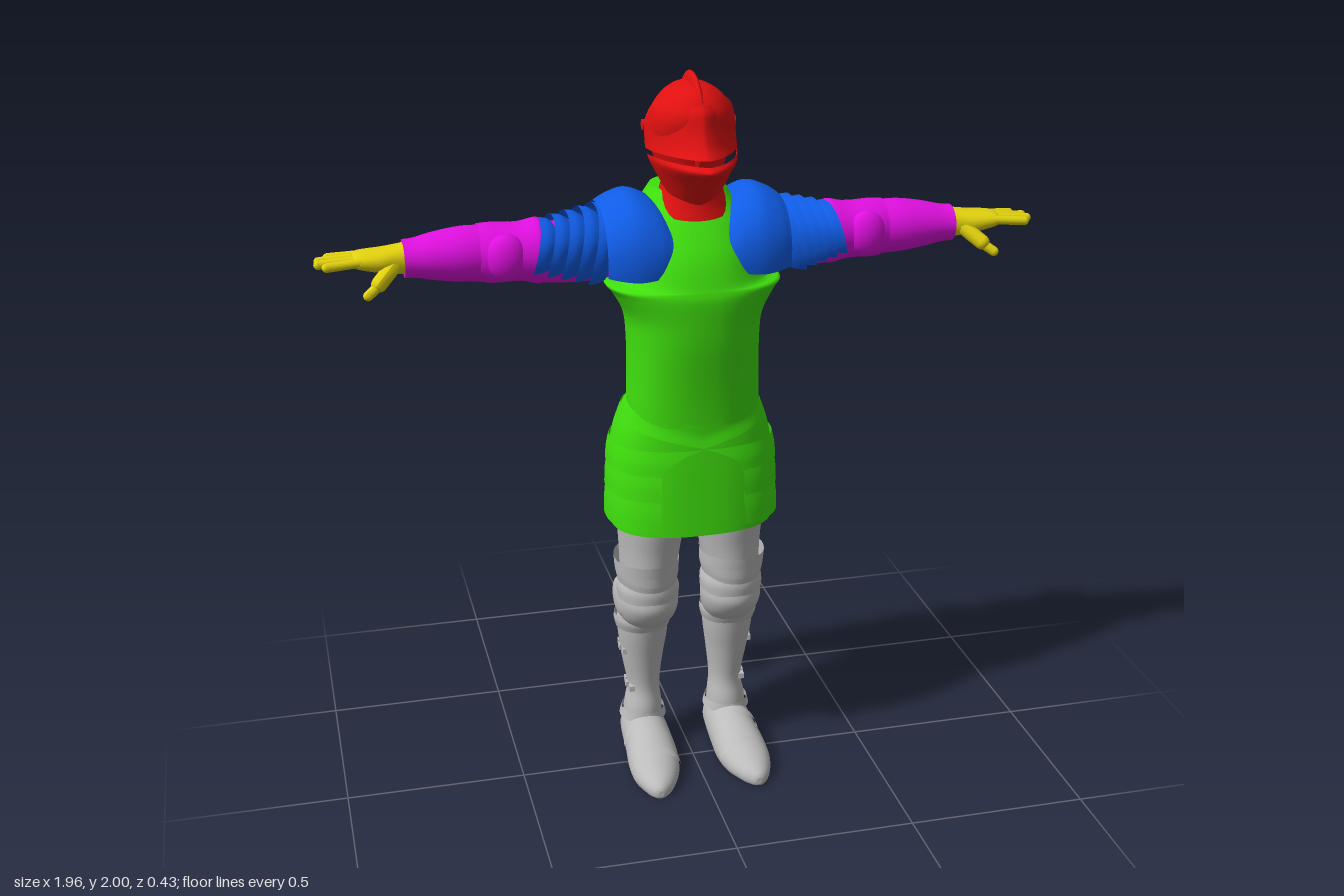
import * as THREE from 'three';

const paint = (name, color) => Object.assign(new THREE.MeshStandardMaterial({ color, side: THREE.DoubleSide }), { name });
const RAD = Math.PI / 180;

// Skin of superellipse rings [t, centreA, centreB, radiusA, radiusB].
// Axis y: A = x, B = z. Axis x: A = z, B = y. Axis z: A = y, B = x.
// arc(t) gives a start and end angle in degrees for open plates.
function loft(rings, { axis = 'y', n = 2, seg = 32, sub = 4, arc = null, cap = !arc, warp = null } = {}) {
  const curve = k => new THREE.CatmullRomCurve3(
    rings.map(r => k ? new THREE.Vector3(r[3], r[4], 0) : new THREE.Vector3(r[0], r[1], r[2])), false, 'catmullrom', 0.5);
  const centres = curve(0), radii = curve(1), rows = (rings.length - 1) * sub, cols = arc ? seg + 1 : seg;
  const pos = [], idx = [];
  const place = (t, a, b) => {
    const v = axis === 'y' ? new THREE.Vector3(a, t, b) : axis === 'x' ? new THREE.Vector3(t, b, a) : new THREE.Vector3(b, a, t);
    if (warp) warp(v);
    pos.push(v.x, v.y, v.z);
  };
  const power = v => Math.sign(v) * Math.abs(v) ** (2 / n);
  const addRow = i => {
    const c = centres.getPoint(i / rows), r = radii.getPoint(i / rows);
    const [a0, a1] = arc ? arc(c.x) : [0, 360];
    for (let j = 0; j < cols; j++) {
      const a = (a0 + (a1 - a0) * j / seg) * RAD;
      place(c.x, c.y + r.x * power(Math.cos(a)), c.z + r.y * power(Math.sin(a)));
    }
    return c;
  };
  for (let i = 0; i <= rows; i++) addRow(i);
  for (let i = 0; i < rows; i++) for (let j = 0; j < seg; j++) {
    const k = (j + 1) % cols, p = i * cols, q = p + cols;
    idx.push(p + j, q + j, p + k, p + k, q + j, q + k);
  }
  if (cap) for (const i of [0, rows]) {
    const p = pos.length / 3, c = addRow(i), m = pos.length / 3;
    place(c.x, c.y, c.z);
    for (let j = 0; j < seg; j++) {
      const k = (j + 1) % seg;
      idx.push(m, p + (i ? k : j), p + (i ? j : k));
    }
  }
  const g = new THREE.BufferGeometry();
  g.setAttribute('position', new THREE.Float32BufferAttribute(pos, 3));
  g.setIndex(idx);
  g.computeVertexNormals();
  return g;
}

// Reflected copy of a geometry across x = 0
function mirrored(geo) {
  const g = geo.clone().scale(-1, 1, 1), ix = g.index.array;
  for (let i = 0; i < ix.length; i += 3) [ix[i], ix[i + 1]] = [ix[i + 1], ix[i]];
  g.computeVertexNormals();
  return g;
}

export function createModel() {
  const model = new THREE.Group();
  model.name = 'armouredFigure';
  const red = paint('helmRed', 0xe01010), blue = paint('pauldronBlue', 0x105ce6), green = paint('cuirassGreen', 0x40e00e);
  const magenta = paint('armMagenta', 0xe010e0), yellow = paint('gauntletYellow', 0xe2d20e), grey = paint('legGrey', 0xbcbcbc);
  const add = (name, geo, mat) => {
    const m = new THREE.Mesh(geo, mat);
    m.name = name;
    model.add(m);
  };
  const pair = (name, geo, mat) => {
    add(name + 'Left', geo, mat);
    add(name + 'Right', mirrored(geo), mat);
  };
  const ball = (x, y, z, rx, ry, rz) => new THREE.SphereGeometry(1, 24, 16).scale(rx, ry, rz).translate(x, y, z);

  // Helm: skull, comb, two visor plates with a sight gap, pivots, collar
  add('helmSkull', loft([[1.67, 0, -0.02, 0.075, 0.09], [1.73, 0, -0.025, 0.08, 0.085], [1.79, 0, -0.03, 0.1, 0.1],
    [1.85, 0, -0.02, 0.113, 0.12], [1.9, 0, -0.012, 0.106, 0.124], [1.94, 0, -0.012, 0.08, 0.105], [1.965, 0, -0.012, 0.045, 0.07],
    [1.975, 0, -0.012, 0.01, 0.02]]), red);
  add('helmComb', ball(0, 1.865, -0.012, 0.022, 0.135, 0.13), red);
  const half = () => [0, 180];
  add('visorUpper', loft([[1.805, 0, -0.02, 0.121, 0.188], [1.83, 0, -0.03, 0.121, 0.175], [1.87, 0, -0.035, 0.12, 0.163],
    [1.91, 0, -0.02, 0.108, 0.141], [1.93, 0, -0.01, 0.09, 0.118]], { n: 1.5, arc: half }), red);
  add('visorLower', loft([[1.665, 0, 0.025, 0.055, 0.045], [1.7, 0, 0.02, 0.075, 0.085], [1.74, 0, 0.01, 0.097, 0.14],
    [1.777, 0, 0, 0.115, 0.204], [1.793, 0, -0.01, 0.119, 0.195]], { n: 1.5, arc: half }), red);
  pair('visorPivot', new THREE.CylinderGeometry(0.014, 0.014, 0.012, 16).rotateZ(90 * RAD).translate(0.118, 1.86, -0.045), red);
  add('collar', loft([[1.645, 0, -0.025, 0.108, 0.11], [1.67, 0, -0.022, 0.093, 0.098], [1.705, 0, -0.02, 0.08, 0.09]],
    { cap: false, warp: v => { if (v.z > 0) v.y -= 0.18 * v.z * (1.705 - v.y) / 0.06; } }), red);

  // Cuirass with flared arm openings
  add('cuirass', loft([[1.04, 0, -0.008, 0.18, 0.13], [1.12, 0, -0.005, 0.181, 0.134], [1.2, 0, -0.005, 0.178, 0.144],
    [1.3, 0, -0.006, 0.178, 0.16], [1.37, 0, -0.009, 0.186, 0.17], [1.43, 0, -0.01, 0.218, 0.175], [1.455, 0, -0.012, 0.235, 0.173],
    [1.47, 0, -0.014, 0.19, 0.17], [1.54, 0, -0.028, 0.168, 0.16], [1.61, 0, -0.052, 0.15, 0.142],
    [1.66, 0, -0.065, 0.12, 0.12], [1.695, 0, -0.065, 0.098, 0.1]], { n: 2.3, seg: 48 }), green);

  // Waist flange dipping to a point at the front
  add('waistFlange', loft([[1.065, 0, -0.022, 0.2, 0.152], [1.095, 0, -0.022, 0.191, 0.147], [1.125, 0, -0.012, 0.178, 0.138]],
    { n: 2.3, seg: 48, cap: false, warp: v => { if (v.z > 0) v.y -= 0.05 * (1 - Math.abs(v.x) / 0.2) * Math.min(1, v.z / 0.1); } }), green);

  // Skirt lames
  [[1.1, 0.98, 0.19, 0.224, 0.145], [0.995, 0.9, 0.215, 0.23, 0.15], [0.915, 0.757, 0.222, 0.225, 0.152]].forEach(([top, bot, r0, r1, d], i) =>
    add('skirtLame' + i, loft([[bot, 0, -0.034, r1, d + 0.005], [(top + bot) / 2, 0, -0.03, (r0 + r1) / 2 + 0.004, d], [top, 0, -0.027, r0, d - 0.004]],
      { n: 2.5, seg: 48, cap: false }), green));

  // Hip plates, curving in towards the middle to form an arch
  const arch = y => [-38, 66 + 24 * Math.max(0, (y - 0.93) / 0.08) ** 2];
  [[1.01, 0.94, 0.224, 0.235], [0.95, 0.865, 0.23, 0.238], [0.875, 0.778, 0.234, 0.24]].forEach(([top, bot, r0, r1], i) =>
    pair('hipPlate' + i, loft([[bot, 0, -0.03, r1, 0.164], [(top + bot) / 2, 0, -0.03, (r0 + r1) / 2 + 0.002, 0.162], [top, 0, -0.03, r0, 0.156]],
      { n: 2.5, arc: arch }), green));

  // Shoulder: large arched plate and overlapping lames down the upper arm
  pair('shoulderPlate', loft([[0.075, -0.045, 1.53, 0.155, 0.11], [0.11, -0.045, 1.53, 0.166, 0.142], [0.165, -0.047, 1.53, 0.17, 0.163],
    [0.215, -0.052, 1.53, 0.162, 0.147], [0.245, -0.056, 1.53, 0.15, 0.128]], { axis: 'x', n: 2.2, arc: () => [-14, 194] }), blue);
  for (let i = 0; i < 5; i++) {
    const x = 0.225 + i * 0.034, z = -0.06 - i * 0.006, y = 1.535, r = 0.146 - i * 0.011, h = 0.118 - i * 0.009;
    pair('shoulderLame' + i, loft([[x, z, y, r - 0.016, h - 0.014], [x + 0.022, z, y, r - 0.004, h - 0.003], [x + 0.046, z, y, r, h]],
      { axis: 'x', n: 2.2, sub: 3, arc: () => [-28, 208], warp: v => { v.x += (1.57 - v.y) * 0.25; } }), blue);
  }

  // Arms
  pair('upperArm', loft([[0.16, -0.08, 1.53, 0.075, 0.07], [0.24, -0.085, 1.525, 0.085, 0.08], [0.34, -0.087, 1.525, 0.084, 0.082],
    [0.42, -0.088, 1.53, 0.08, 0.08]], { axis: 'x' }), magenta);
  pair('elbowPlate', loft([[0.385, -0.09, 1.53, 0.078, 0.078], [0.4, -0.09, 1.532, 0.088, 0.088], [0.45, -0.09, 1.533, 0.083, 0.078],
    [0.52, -0.093, 1.533, 0.081, 0.08], [0.555, -0.095, 1.535, 0.075, 0.076]], { axis: 'x' }), magenta);
  pair('elbowWing', ball(0.49, 1.535, -0.03, 0.055, 0.062, 0.035), magenta);
  pair('elbowCop', ball(0.47, 1.54, -0.14, 0.06, 0.06, 0.042), magenta);
  pair('forearm', loft([[0.535, -0.094, 1.533, 0.07, 0.074], [0.6, -0.092, 1.535, 0.074, 0.073], [0.67, -0.09, 1.535, 0.068, 0.063],
    [0.72, -0.086, 1.535, 0.059, 0.052], [0.75, -0.084, 1.535, 0.056, 0.05]], { axis: 'x' }), magenta);

  // Gauntlets with four fingers and a thumb
  pair('palm', loft([[0.735, -0.083, 1.537, 0.048, 0.042], [0.77, -0.08, 1.537, 0.049, 0.037], [0.81, -0.077, 1.538, 0.053, 0.031],
    [0.86, -0.075, 1.542, 0.051, 0.023], [0.88, -0.075, 1.543, 0.046, 0.016]], { axis: 'x', n: 2.3 }), yellow);
  const digit = (a, b, r) => {
    const p = new THREE.Vector3(...a), d = new THREE.Vector3(...b).sub(p);
    return new THREE.CapsuleGeometry(r, d.length(), 4, 10)
      .applyQuaternion(new THREE.Quaternion().setFromUnitVectors(new THREE.Vector3(0, 1, 0), d.clone().normalize()))
      .translate(p.x + d.x / 2, p.y + d.y / 2, p.z + d.z / 2);
  };
  [0.948, 0.967, 0.965, 0.94].forEach((x, i) =>
    pair('finger' + i, digit([0.86, 1.545, -0.037 - i * 0.025], [x, 1.54, -0.027 - i * 0.031], 0.0125), yellow));
  pair('thumbBase', digit([0.775, 1.53, -0.05], [0.82, 1.492, -0.012], 0.021), yellow);
  pair('thumb', digit([0.815, 1.492, -0.014], [0.85, 1.468, 0.003], 0.0135), yellow);

  // Legs: thigh, knee plates, greave
  pair('thigh', loft([[0.95, 0.115, -0.035, 0.095, 0.13], [0.78, 0.112, -0.038, 0.095, 0.126], [0.68, 0.115, -0.043, 0.086, 0.112],
    [0.6, 0.12, -0.045, 0.078, 0.105], [0.55, 0.12, -0.045, 0.076, 0.095]].reverse()), grey);
  pair('kneeBand', loft([[0.57, 0.123, -0.045, 0.083, 0.104], [0.6, 0.123, -0.046, 0.089, 0.112], [0.64, 0.124, -0.045, 0.091, 0.118]],
    { cap: false, warp: v => { v.y += 0.1 * Math.max(0, v.z) * (0.6 - v.y > 0 ? -1 : 1); } }), grey);
  pair('kneeLame', loft([[0.52, 0.121, -0.042, 0.087, 0.096], [0.55, 0.121, -0.042, 0.088, 0.1], [0.575, 0.121, -0.043, 0.08, 0.098]], { cap: false }), grey);
  pair('kneeCop', loft([[0.425, 0.121, -0.075, 0.066, 0.075], [0.46, 0.121, -0.055, 0.08, 0.09], [0.5, 0.121, -0.044, 0.086, 0.1],
    [0.54, 0.121, -0.042, 0.082, 0.094]]), grey);
  pair('kneeWing', ball(0.192, 0.5, -0.075, 0.02, 0.055, 0.07).rotateX(0), grey);
  pair('greave', loft([[0.09, 0.127, -0.108, 0.058, 0.066], [0.14, 0.125, -0.107, 0.054, 0.062], [0.2, 0.123, -0.11, 0.047, 0.056],
    [0.29, 0.126, -0.108, 0.059, 0.068], [0.37, 0.126, -0.1, 0.07, 0.08], [0.42, 0.126, -0.096, 0.073, 0.088]]), grey);
  pair('greaveRim', loft([[0.395, 0.127, -0.098, 0.075, 0.086], [0.42, 0.127, -0.095, 0.081, 0.097], [0.44, 0.127, -0.094, 0.08, 0.097]],
    { cap: false, warp: v => { v.y += 0.12 * (v.z + 0.1); } }), grey);
  pair('ankleBand', loft([[0.1, 0.126, -0.106, 0.068, 0.072], [0.125, 0.126, -0.106, 0.062, 0.069]], { cap: false }), grey);

  // Greave straps on the outer side
  for (const [y, x] of [[0.325, 0.187], [0.2, 0.169]]) for (const z of [-0.075, -0.105, -0.135])
    pair('strap', new THREE.BoxGeometry(0.016, 0.016, 0.02).translate(x - Math.abs(z + 0.107) * 0.15, y, z), grey);

  // Pointed shoes with flat soles
  pair('shoe', loft([[-0.178, 0.035, 0.126, 0.035, 0.03], [-0.16, 0.045, 0.126, 0.06, 0.055], [-0.1, 0.05, 0.126, 0.075, 0.065],
    [-0.02, 0.04, 0.127, 0.078, 0.069], [0.05, 0.03, 0.13, 0.068, 0.073], [0.12, 0.022, 0.135, 0.052, 0.066],
    [0.18, 0.018, 0.14, 0.034, 0.043], [0.208, 0.015, 0.143, 0.022, 0.022], [0.216, 0.015, 0.143, 0.01, 0.008]],
  { axis: 'z', warp: v => { v.y = Math.max(0, v.y); } }), grey);
  for (const z of [-0.03, 0.03, 0.085])
    pair('shoeLame', loft([[z, 0.037 - z * 0.13, 0.129, 0.082 - (z + 0.03) * 0.17, 0.071], [z + 0.02, 0.035 - z * 0.13, 0.13, 0.079 - (z + 0.05) * 0.18, 0.071]],
      { axis: 'z', arc: () => [-85, 85], sub: 2, warp: v => { v.y = Math.max(0, v.y); } }), grey);
  return model;
}
